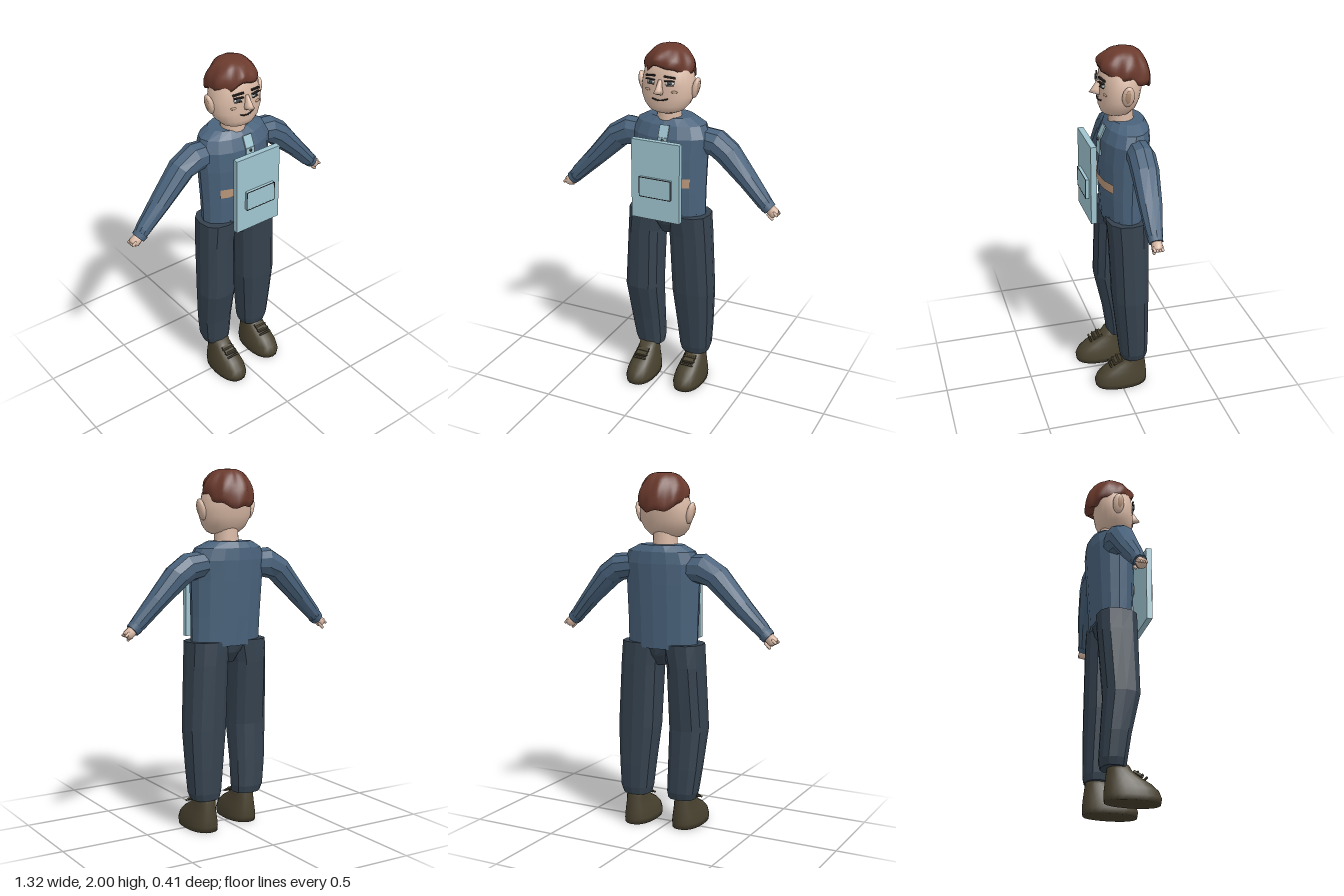
import * as THREE from 'three';
import { mergeVertices } from 'three/addons/utils/BufferGeometryUtils.js';

const mat = (name, color, side = THREE.FrontSide) => {
  const m = new THREE.MeshStandardMaterial({ color, side });
  m.name = name;
  return m;
};

// Skin over rings listed bottom to top; ring(i, a) gives a point, a running from +x to +z
function skin(count, sides, ring, smooth) {
  const pos = [];
  const rings = [];
  for (let i = 0; i < count; i++) {
    const r = [];
    for (let j = 0; j < sides; j++) r.push(ring(i, (j / sides) * Math.PI * 2));
    rings.push(r);
  }
  const tri = (...pts) => pts.forEach(p => pos.push(p.x, p.y, p.z));
  const middle = r => r.reduce((s, p) => s.add(p), new THREE.Vector3()).divideScalar(sides);
  const low = middle(rings[0]), high = middle(rings[count - 1]);
  for (let j = 0; j < sides; j++) {
    const k = (j + 1) % sides;
    for (let i = 0; i < count - 1; i++) {
      const a = rings[i][j], b = rings[i][k], c = rings[i + 1][j], d = rings[i + 1][k];
      tri(a, c, b);
      tri(b, c, d);
    }
    tri(low, rings[0][j], rings[0][k]);
    tri(high, rings[count - 1][k], rings[count - 1][j]);
  }
  let g = new THREE.BufferGeometry();
  g.setAttribute('position', new THREE.Float32BufferAttribute(pos, 3));
  if (smooth) g = mergeVertices(g);
  g.computeVertexNormals();
  return g;
}

// Rings as [x, y, z, rx, rz, tilt]; power above 2 squares the outline
function loft(rows, sides, { smooth = false, power = 2 } = {}) {
  const bend = v => Math.sign(v) * Math.abs(v) ** (2 / power);
  return skin(rows.length, sides, (i, a) => {
    const [x, y, z, rx, rz, tilt = 0] = rows[i];
    const u = bend(Math.cos(a)) * rx;
    return new THREE.Vector3(x + u * Math.cos(tilt), y + u * Math.sin(tilt), z + bend(Math.sin(a)) * rz);
  }, smooth);
}

// Rings given as height with x limits and z limits
const span = rows => rows.map(([y, x0, x1, z0, z1]) =>
  [(x0 + x1) / 2, y, (z0 + z1) / 2, (x1 - x0) / 2, (z1 - z0) / 2]);

export function createModel() {
  const model = new THREE.Group();
  const shirt = mat('shirt blue', 0x4a637c);
  const cloth = mat('trouser slate', 0x35424f);
  const skinTone = mat('skin', 0xd9b9a5);
  const hairBrown = mat('hair brown', 0x6b3a2d);
  const leather = mat('shoe olive', 0x48412f);
  const paleBlue = mat('pale blue', 0x9fc4d0);
  const tan = mat('tan', 0xb9967a, THREE.DoubleSide);
  const dark = mat('dark lines', 0x2a2524);
  const white = mat('eye white', 0xd8d8d2);
  const iris = mat('iris', 0x59666c);

  const add = (name, geometry, material, x = 0, y = 0, z = 0, parent = model) => {
    const m = new THREE.Mesh(geometry, material);
    m.name = name;
    m.position.set(x, y, z);
    parent.add(m);
    return m;
  };
  const box = (w, h, d) => new THREE.BoxGeometry(w, h, d);

  // Shirt body
  add('torso', loft(span([
    [1.04, -0.185, 0.235, -0.16, 0.065], [1.2, -0.19, 0.235, -0.172, 0.075],
    [1.4, -0.2, 0.24, -0.186, 0.08], [1.51, -0.205, 0.25, -0.192, 0.072],
    [1.575, -0.18, 0.22, -0.188, 0.045], [1.61, -0.115, 0.145, -0.168, 0.012],
  ]), 16), shirt);

  // Trousers
  add('pelvis', loft(span([
    [0.94, -0.025, 0.075, -0.1, 0.02], [1.0, -0.06, 0.11, -0.14, 0.055], [1.075, -0.18, 0.23, -0.157, 0.068],
  ]), 12), cloth);
  add('leftTrouserLeg', loft(span([
    [0.18, 0.095, 0.255, -0.15, -0.005], [0.22, 0.085, 0.27, -0.158, 0.005], [0.36, 0.07, 0.28, -0.16, 0.02],
    [0.58, 0.045, 0.29, -0.16, 0.045], [0.94, 0.03, 0.272, -0.16, 0.06], [1.065, 0.01, 0.265, -0.158, 0.07],
  ]), 12, { power: 2.4 }), cloth);
  add('rightTrouserLeg', loft(span([
    [0.18, -0.185, -0.025, -0.13, 0.005], [0.22, -0.2, -0.02, -0.14, 0.01], [0.36, -0.218, -0.02, -0.135, 0.03],
    [0.58, -0.235, -0.018, -0.125, 0.078], [0.94, -0.22, -0.015, -0.155, 0.072], [1.065, -0.215, 0.015, -0.158, 0.07],
  ]), 12, { power: 2.4 }), cloth);

  // Shoes with a tongue flap and laces
  for (const [side, x, heel] of [['left', 0.178, -0.16], ['right', -0.105, -0.112]]) {
    const shoe = new THREE.Group();
    shoe.name = side + 'Shoe';
    shoe.position.set(x, 0, heel);
    model.add(shoe);
    add('upper', loft(span([
      [0, -0.083, 0.083, 0.004, 0.305], [0.03, -0.085, 0.085, 0, 0.311], [0.07, -0.079, 0.079, 0.002, 0.295],
      [0.105, -0.07, 0.07, 0.006, 0.255], [0.135, -0.062, 0.062, 0.01, 0.2],
      [0.165, -0.057, 0.057, 0.015, 0.155], [0.195, -0.054, 0.054, 0.02, 0.135],
    ]), 20, { smooth: true, power: 2.3 }), leather, 0, 0, 0, shoe);
    add('tongue', box(0.065, 0.012, 0.06), leather, 0, 0.155, 0.18, shoe).rotation.x = 0.45;
    for (let i = 0; i < 3; i++)
      add('lace', new THREE.CapsuleGeometry(0.006, 0.07, 3, 6), leather, 0, 0.165 - i * 0.014, 0.175 + i * 0.024, shoe)
        .rotation.z = Math.PI / 2;
  }

  // Sleeves, listed from wrist to shoulder
  add('leftSleeve', loft([
    [0.605, 1.155, -0.065, 0.036, 0.034, 0.85], [0.57, 1.19, -0.066, 0.044, 0.044, 0.85],
    [0.47, 1.3, -0.075, 0.054, 0.062, 0.85], [0.345, 1.43, -0.083, 0.074, 0.074, 0.75],
    [0.28, 1.475, -0.085, 0.078, 0.075, 1.25], [0.18, 1.49, -0.085, 0.07, 0.07, 1.45],
  ], 10), shirt);
  add('rightSleeve', loft([
    [-0.61, 1.135, -0.05, 0.034, 0.034, -0.85], [-0.575, 1.175, -0.053, 0.044, 0.042, -0.85],
    [-0.46, 1.29, -0.06, 0.056, 0.06, -0.85], [-0.31, 1.445, -0.066, 0.074, 0.073, -0.8],
    [-0.225, 1.485, -0.066, 0.085, 0.075, -1.3], [-0.15, 1.485, -0.066, 0.075, 0.07, -1.45],
  ], 10), shirt);

  // Cuffs and curled hands
  for (const [side, s, x, y, z] of [['left', 1, 0.595, 1.165, -0.065], ['right', -1, -0.6, 1.147, -0.05]]) {
    const wrist = new THREE.Group();
    wrist.name = side + 'Hand';
    wrist.position.set(x, y, z);
    wrist.rotation.z = s * 0.85;
    model.add(wrist);
    add('cuff', new THREE.CylinderGeometry(0.042, 0.038, 0.03, 10), shirt, 0, 0, 0, wrist);
    add('palm', loft([
      [0, -0.062, 0, 0.018, 0.02], [0, -0.05, 0, 0.03, 0.03], [0, -0.01, 0, 0.028, 0.028],
    ], 10, { smooth: true }), skinTone, 0, 0, 0, wrist);
    for (let i = 0; i < 4; i++)
      add('finger', new THREE.CapsuleGeometry(0.008, 0.02, 3, 6), skinTone, s * 0.012, -0.054, (i - 1.5) * 0.014, wrist);
    add('thumb', new THREE.CapsuleGeometry(0.009, 0.03, 3, 6), skinTone, -s * 0.026, -0.045, s < 0 ? -0.03 : 0.015, wrist);
  }

  // Chest board with raised label, strap and waist band
  add('board', box(0.285, 0.45, 0.032), paleBlue, 0.028, 1.295, 0.146);
  add('boardLabel', box(0.185, 0.11, 0.02), paleBlue, 0.033, 1.26, 0.17);
  for (const s of [-1, 1]) {
    add('labelEdge', box(0.185, 0.004, 0.002), dark, 0.033, 1.26 + s * 0.055, 0.18);
    add('labelEdge', box(0.004, 0.11, 0.002), dark, 0.033 + s * 0.0925, 1.26, 0.18);
  }
  add('strap', box(0.055, 0.07, 0.008), paleBlue, 0.033, 1.55, 0.065).rotation.x = -0.4;
  add('strapLower', box(0.055, 0.1, 0.008), paleBlue, 0.033, 1.47, 0.082);
  add('strapButton', new THREE.SphereGeometry(0.008, 8, 6), dark, 0.033, 1.505, 0.086);
  add('waistBand', new THREE.CylinderGeometry(1, 1, 0.052, 4, 1, true, -Math.PI / 4, Math.PI / 2),
    tan, 0.022, 1.265, -0.05).scale.set(0.222, 1, 0.132);

  // Neck and head
  add('neck', new THREE.CylinderGeometry(0.064, 0.07, 0.12, 16), skinTone, 0.014, 1.64, -0.045);
  add('head', loft(span([
    [1.645, -0.05, 0.08, -0.06, 0.045], [1.658, -0.08, 0.11, -0.09, 0.064], [1.69, -0.11, 0.14, -0.12, 0.076],
    [1.74, -0.134, 0.164, -0.138, 0.078], [1.8, -0.133, 0.163, -0.15, 0.076], [1.87, -0.118, 0.148, -0.155, 0.072],
    [1.93, -0.08, 0.11, -0.14, 0.04],
  ]), 24, { smooth: true, power: 2.15 }), skinTone);
  add('nose', loft(span([
    [1.755, 0, 0.03, 0.06, 0.09], [1.77, -0.01, 0.04, 0.06, 0.13], [1.785, -0.004, 0.034, 0.06, 0.118],
    [1.835, 0.006, 0.024, 0.06, 0.083],
  ]), 8, { smooth: true }), skinTone);
  for (const s of [-1, 1]) {
    const cx = 0.015 + s * 0.055;
    const ear = add('ear', new THREE.SphereGeometry(1, 14, 10), skinTone, 0.015 + s * 0.155, 1.78, -0.042);
    ear.scale.set(0.02, 0.06, 0.034);
    ear.rotation.z = -s * 0.25;
    const hollow = add('earHollow', new THREE.SphereGeometry(1, 10, 8), tan, 0.015 + s * 0.168, 1.782, -0.038);
    hollow.scale.set(0.01, 0.04, 0.018);
    hollow.rotation.z = -s * 0.25;
    const turn = s * 0.25;
    const face = (name, g, m, x, y, z, sx, sy, sz) => {
      const f = add(name, g, m, x, y, z);
      f.scale.set(sx, sy, sz);
      f.rotation.y = turn;
      return f;
    };
    const ball = new THREE.SphereGeometry(1, 12, 8);
    face('eye', ball, white, cx, 1.82, 0.071, 0.026, 0.013, 0.007);
    face('iris', ball, iris, cx, 1.82, 0.077, 0.012, 0.012, 0.004);
    face('pupil', ball, dark, cx, 1.82, 0.08, 0.005, 0.006, 0.003);
    face('upperLid', box(1, 1, 1), dark, cx, 1.833, 0.077, 0.054, 0.006, 0.012);
    face('lowerLid', box(1, 1, 1), dark, cx, 1.808, 0.074, 0.04, 0.003, 0.008);
    face('eyebrow', box(1, 1, 1), dark, cx, 1.853, 0.073, 0.062, 0.009, 0.01).rotation.z = -s * 0.12;
    face('cheekMark', ball, tan, 0.015 + s * 0.077, 1.773, 0.062, 0.018, 0.007, 0.006);
  }
  const mouth = new THREE.CatmullRomCurve3([[-0.03, 1.73, 0.075], [0.015, 1.724, 0.081], [0.062, 1.735, 0.072]]
    .map(p => new THREE.Vector3(...p)));
  add('mouth', new THREE.TubeGeometry(mouth, 10, 0.004, 5), dark);

  // Hair: swirled cap with a hairline raised over the brow and dropped at the nape
  const steps = 12;
  add('hair', skin(steps, 56, (i, a) => {
    const front = Math.sin(a);
    const hem = (front > 0 ? 1.855 + 0.05 * front ** 4 : 1.855 + 0.065 * front) + 0.008 * Math.sin(7 * a + 1);
    const t = Math.max(0, i - 1) / (steps - 2);
    const ridge = 1 + 0.04 * Math.sin(7 * a + 5 * t) + 0.015 * Math.sin(12 * a - 3 * t);
    const r = (i === 0 ? 0.8 : Math.cos(t * 1.5) ** 0.7) * ridge;
    const y = hem + (1.997 - hem) * Math.sin(t * Math.PI / 2) + (i === 0 ? 0.012 : 0);
    const bulge = 0.96 + 0.05 * Math.sin(Math.min(1, t * 2) * Math.PI);
    return new THREE.Vector3(0.015 + Math.cos(a) * 0.138 * r * bulge, y, -0.06 + front * 0.145 * r * bulge);
  }, true), hairBrown);

  return model;
}
